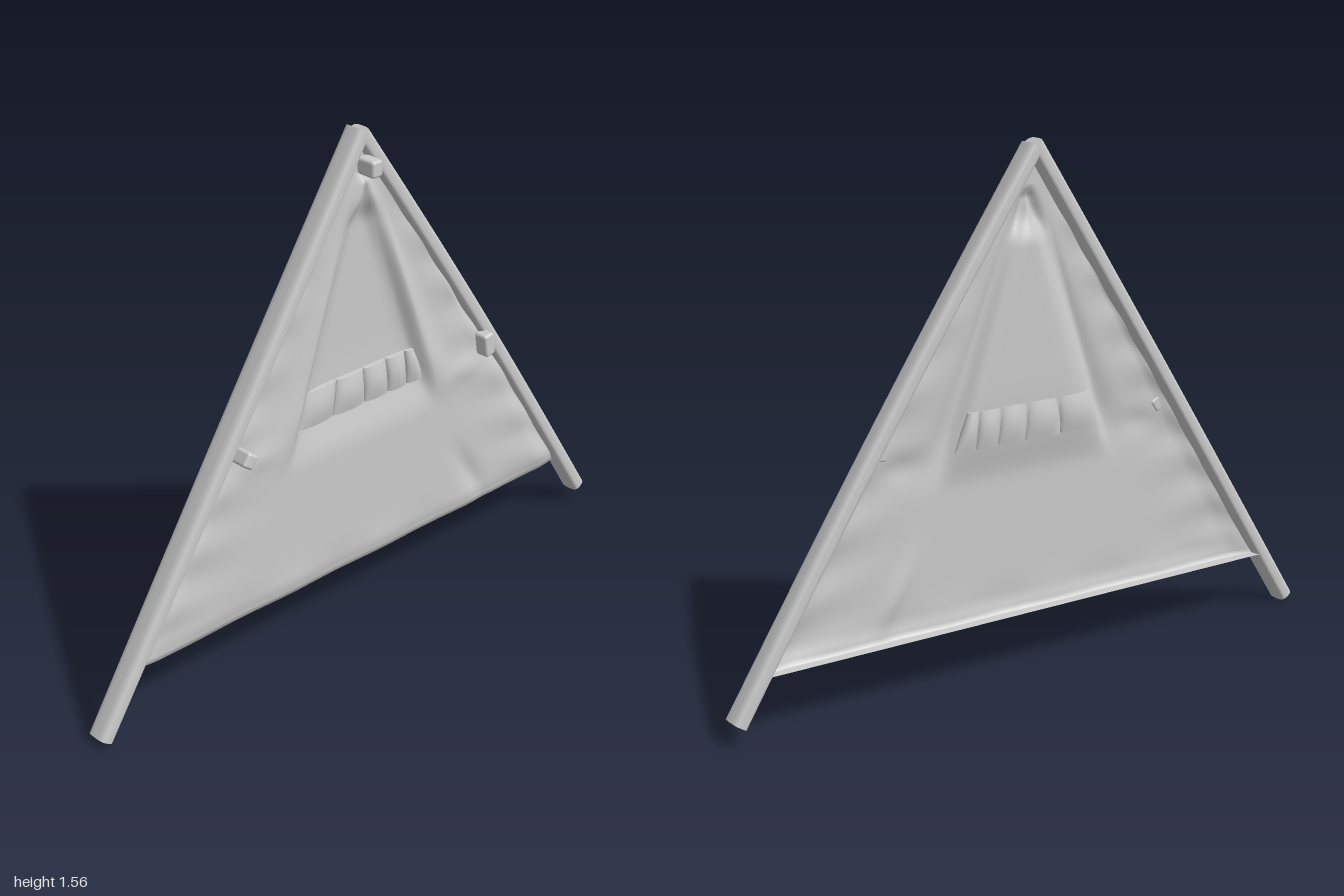
import * as THREE from 'three';
import { RoundedBoxGeometry } from 'three/addons/geometries/RoundedBoxGeometry.js';

const grey = new THREE.MeshStandardMaterial({ color: 0xcccccc });
const cloth = new THREE.MeshStandardMaterial({ color: 0xcccccc, side: THREE.DoubleSide });

const HEM = 0.18, TOP = 1.53;
const step = THREE.MathUtils.smoothstep;
const lerp = THREE.MathUtils.lerp;
const bump = (d, w) => Math.exp(-(d * d) / (w * w));

function named(name, geometry, material = grey) {
  const m = new THREE.Mesh(geometry, material);
  m.name = name;
  return m;
}

// centre lines of the two poles at a given height
const rightX = y => -0.98 * (1.55 - y) / 1.538;
const leftX = y => {
  const t = (1.55 - y) / 1.5;
  return 0.98 * t + 0.018 * Math.sin(Math.PI * t);
};

// Pole: a long beam with a rounded-box section, bowed outward by bow,
// its front face swelling (or thinning) by swell halfway up
function pole(name, x0, y0, x1, y1, bow, swell) {
  const dx = x1 - x0, dy = y1 - y0, len = Math.hypot(dx, dy);
  const round = v => Math.sign(v) * Math.pow(Math.abs(v), 0.6);
  const points = [];
  for (let i = 0; i < 24; i++) {
    const a = i / 24 * Math.PI * 2;
    points.push(new THREE.Vector2(0.024 * round(Math.cos(a)), 0.035 * round(Math.sin(a))));
  }
  const g = new THREE.ExtrudeGeometry(new THREE.Shape(points), { depth: len, steps: 14, bevelEnabled: false });
  g.rotateX(-Math.PI / 2);
  const p = g.attributes.position;
  for (let i = 0; i < p.count; i++) {
    const s = Math.sin(Math.PI * p.getY(i) / len);
    p.setX(i, p.getX(i) + bow * s);
    if (p.getZ(i) > 0) p.setZ(i, p.getZ(i) * (1 + s * swell / 0.035));
  }
  g.rotateZ(Math.atan2(-dx, dy));
  g.translate(x0, y0, -0.021);
  return named(name, g);
}

// Depth of the draped cloth at a point
function drape(x, y, u) {
  const edge = Math.min(u, 1 - u);
  const t = (1.42 - y) / 0.76;
  // flat lower sheet, flaps set back between the poles
  let z = -0.006 - 0.008 * step(y, 0.6, 0.9);
  z -= 0.012 * (1 - step(edge, 0, 0.06));
  // two tapering folds that fall from the peak, with a sunken panel between
  if (t > 0) {
    const fade = 1 - step(t, 0.85, 1.12);
    const c = 0.01 + (x < 0.01 ? -0.29 : 0.31) * t;
    z += 0.016 * fade * bump(x - c, 0.018 + 0.035 * t);
    const inside = 1 - step(Math.abs(x - 0.01), 0.25 * t, 0.25 * t + 0.045);
    z -= 0.022 * inside * step(y, 0.58, 0.74) * step(t, 0.08, 0.2);
  }
  // pulled creases beside the pegs, along the sides and above the hem
  z += 0.01 * bump(x + 0.4, 0.07) * bump(y - 0.68, 0.04);
  z += 0.01 * bump(x - 0.43, 0.07) * bump(y - 0.68, 0.04);
  z += 0.005 * Math.sin(y * 38 + x * 6) * bump(edge, 0.12) * step(edge, 0, 0.04);
  z += 0.003 * Math.sin(x * 17) * bump(y - HEM - 0.03, 0.05);
  z -= 0.012 * bump(x - 0.45 - (0.33 - y) * 0.55, 0.035) * bump(y - 0.3, 0.1);
  return z;
}

// Cloth sheet from hem to peak; the first rows roll back into a flat lip
function sheet() {
  const nu = 120, nv = 92, lip = 4, pos = [], idx = [];
  for (let j = 0; j <= nv; j++) {
    const y = HEM + (TOP - HEM) * Math.max(0, j - lip) / (nv - lip);
    for (let i = 0; i <= nu; i++) {
      const u = i / nu;
      const x = lerp(rightX(y), leftX(y), u);
      const front = drape(x, y, u) - 0.008 * (1 - step(y, HEM, HEM + 0.05));
      pos.push(x, y, lerp(-0.055, front, Math.min(1, j / lip)));
    }
  }
  for (let j = 0; j < nv; j++) {
    for (let i = 0; i < nu; i++) {
      const a = j * (nu + 1) + i, b = a + nu + 1;
      idx.push(a, a + 1, b + 1, a, b + 1, b);
    }
  }
  const g = new THREE.BufferGeometry();
  g.setAttribute('position', new THREE.Float32BufferAttribute(pos, 3));
  g.setIndex(idx);
  g.computeVertexNormals();
  return named('cloth', g, cloth);
}

// Gathered pleats: flattened rolls between matching bottom and top edges
function pleats() {
  const group = new THREE.Group();
  group.name = 'pleats';
  const low = [-0.235, -0.095, 0.03, 0.125, 0.2, 0.27];
  const high = [-0.2, -0.08, 0.025, 0.115, 0.19, 0.225];
  for (let k = 0; k < low.length - 1; k++) {
    const g = new THREE.CylinderGeometry(1, 1, 1, 20, 8);
    const p = g.attributes.position;
    for (let i = 0; i < p.count; i++) {
      const t = p.getY(i) + 0.5;
      const a = lerp(low[k], high[k], t);
      const b = lerp(low[k + 1], high[k + 1], t);
      const swell = 0.012 + 0.008 * Math.sin(Math.PI * t);
      p.setXYZ(i, (a + b) / 2 + p.getX(i) * (b - a) / 2, 0.7 + 0.11 * t, -0.028 + p.getZ(i) * swell);
    }
    g.computeVertexNormals();
    group.add(named('pleat', g));
  }
  return group;
}

// Peg: short rounded block whose front face reaches the given depth
function peg(name, x, y, front, height, tilt) {
  const back = -0.012;
  const g = new RoundedBoxGeometry(0.04, height, front - back, 2, 0.009);
  g.rotateZ(tilt);
  g.translate(x, y, (front + back) / 2);
  return named(name, g);
}

export function createModel() {
  const model = new THREE.Group();
  model.name = 'tentPanel';
  model.add(
    pole('rightPole', -0.978, 0.013, 0.002, 1.551, -0.004, 0.01),
    pole('leftPole', 0.978, 0.053, 0, 1.543, 0.015, -0.008),
    sheet(),
    pleats(),
    peg('topPeg', 0.006, 1.453, 0.055, 0.05, 0),
    peg('rightPeg', -0.47, 0.725, 0.055, 0.045, -0.6),
    peg('leftPeg', 0.497, 0.745, 0.035, 0.075, 0.15)
  );
  return model;
}
